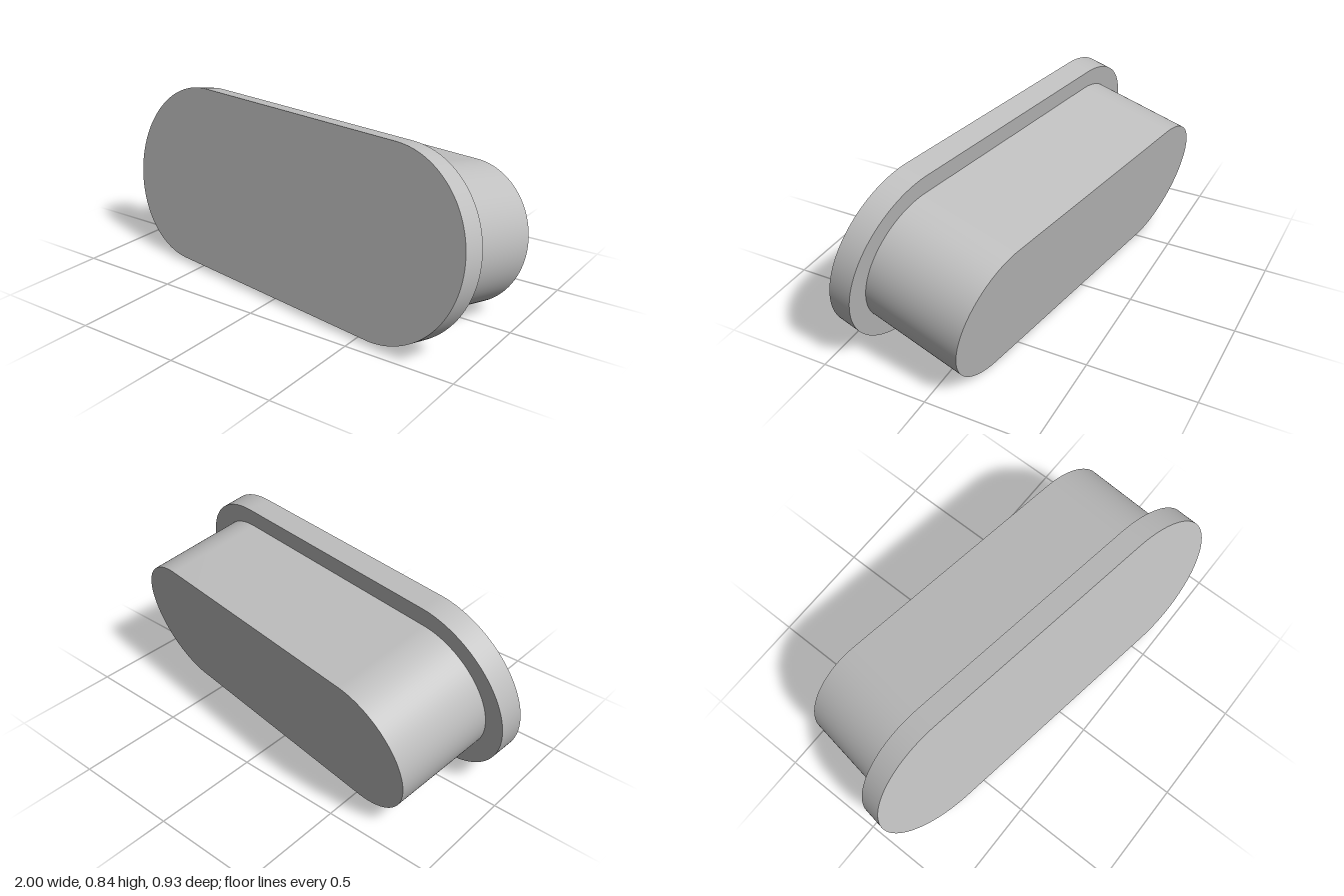
import * as THREE from 'three';
import { toCreasedNormals } from 'three/addons/utils/BufferGeometryUtils.js';

const HALF_STRAIGHT = 0.587; // half length of the straight edges
const RIM_DEPTH = 0.11;
const BODY_DEPTH = 0.479;

// Rounded-end slab running back from z = front
function slab(name, radius, depth, front, material) {
  const shape = new THREE.Shape();
  shape.absarc(HALF_STRAIGHT, 0, radius, -Math.PI / 2, Math.PI / 2, false);
  shape.absarc(-HALF_STRAIGHT, 0, radius, Math.PI / 2, Math.PI * 1.5, false);
  shape.closePath();
  const extruded = new THREE.ExtrudeGeometry(shape, { depth, bevelEnabled: false, curveSegments: 48 });
  const geometry = toCreasedNormals(extruded, Math.PI / 6);
  geometry.translate(0, 0, front - depth);
  const mesh = new THREE.Mesh(geometry, material);
  mesh.name = name;
  return mesh;
}

export function createModel() {
  const grey = new THREE.MeshStandardMaterial({ color: 0xc0c0c0 });
  grey.name = 'light grey';

  const model = new THREE.Group();
  model.name = 'flangedPlug';

  // Wide front rim and the narrower body behind it
  model.add(slab('frontRim', 0.417, RIM_DEPTH, 0, grey));
  model.add(slab('plugBody', 0.3235, BODY_DEPTH, -RIM_DEPTH, grey));

  // The whole plug leans back and turns slightly to its right
  model.rotation.set(THREE.MathUtils.degToRad(-11.1), THREE.MathUtils.degToRad(-8.9), 0, 'YXZ');
  model.position.set(-0.008, 0.431, 0.273);

  const root = new THREE.Group();
  root.name = 'plug';
  root.add(model);
  return root;
}
